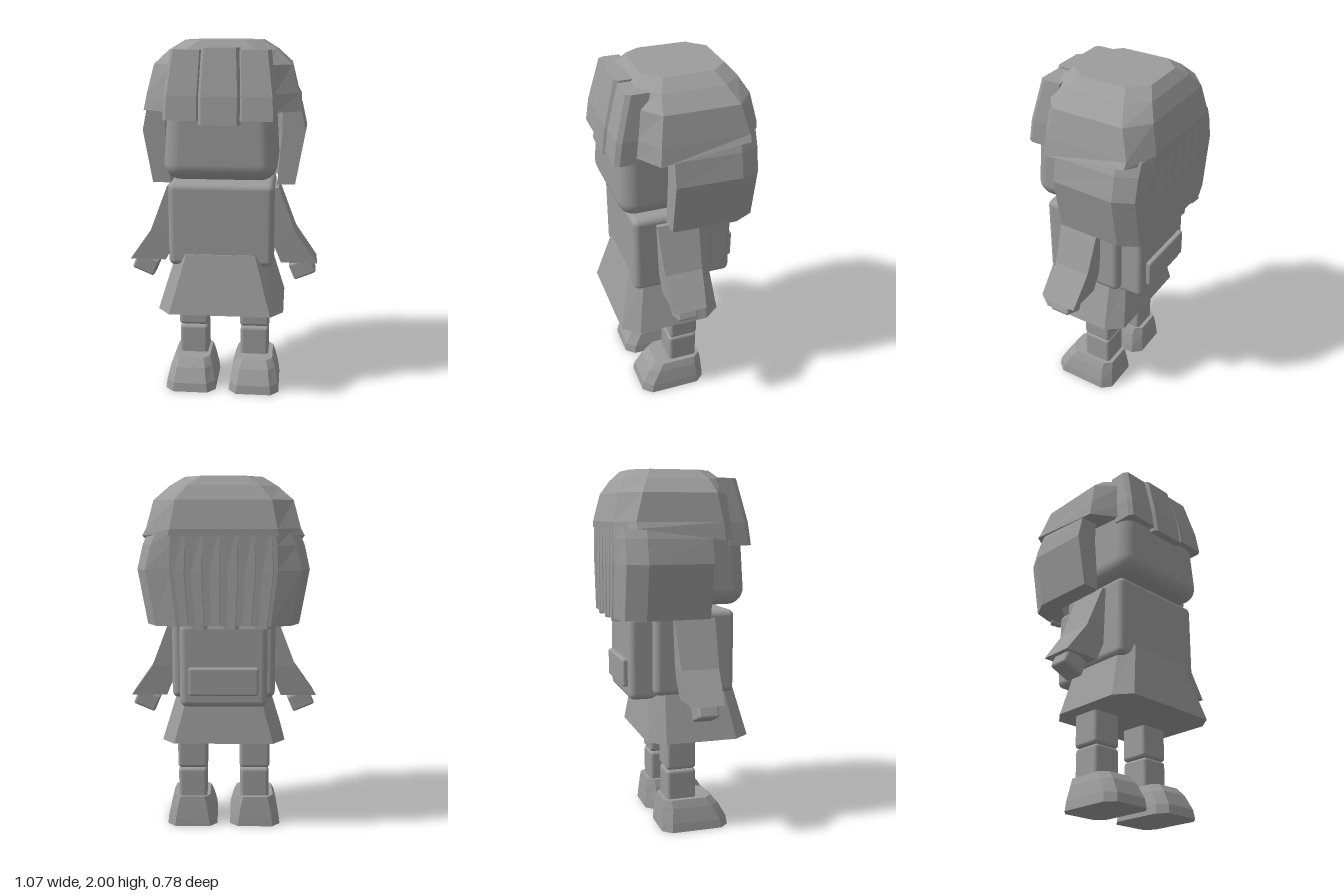
import * as THREE from 'three';
import { RoundedBoxGeometry } from 'three/addons/geometries/RoundedBoxGeometry.js';

// Faceted solid through rings of [x, y, z], bottom to top, counter-clockwise seen from above
function loft(rings) {
  const out = [];
  const n = rings[0].length;
  for (let r = 0; r < rings.length - 1; r++) {
    for (let i = 0; i < n; i++) {
      const j = (i + 1) % n;
      const a = rings[r][i], b = rings[r][j], c = rings[r + 1][j], d = rings[r + 1][i];
      out.push(...a, ...b, ...c, ...a, ...c, ...d);
    }
  }
  const cap = (ring, up) => {
    const flat = ring.map(p => new THREE.Vector2(p[0], -p[2]));
    for (const [a, b, c] of THREE.ShapeUtils.triangulateShape(flat, [])) {
      out.push(...ring[a], ...ring[up ? b : c], ...ring[up ? c : b]);
    }
  };
  cap(rings[0], false);
  cap(rings[rings.length - 1], true);
  const g = new THREE.BufferGeometry();
  g.setAttribute('position', new THREE.Float32BufferAttribute(out, 3));
  g.computeVertexNormals();
  return g;
}

// Rectangle with cut corners: half width X, depth z0..z1, corner cuts cx, cz
function octagon(y, X, z0, z1, cx, cz = cx, mx = 0) {
  return [
    [X, z1 - cz], [X, z0 + cz], [X - cx, z0], [cx - X, z0],
    [-X, z0 + cz], [-X, z1 - cz], [cx - X, z1], [X - cx, z1],
  ].map(([x, z]) => [x + mx, y, z]);
}

function rect(y, xa, xb, z0, z1) {
  const x0 = Math.min(xa, xb), x1 = Math.max(xa, xb);
  return [[x1, y, z1], [x1, y, z0], [x0, y, z0], [x0, y, z1]];
}

export function createModel() {
  const model = new THREE.Group();
  const grey = new THREE.MeshStandardMaterial({ color: 0x9c9c9c });
  grey.name = 'grey';

  const add = (name, geometry) => {
    const mesh = new THREE.Mesh(geometry, grey);
    mesh.name = name;
    model.add(mesh);
    return mesh;
  };
  // Rounded block between two corners
  const block = (name, [x0, y0, z0], [x1, y1, z1], radius) => {
    const mesh = add(name, new RoundedBoxGeometry(x1 - x0, y1 - y0, z1 - z0, 3, radius));
    mesh.position.set((x0 + x1) / 2, (y0 + y1) / 2, (z0 + z1) / 2);
    return mesh;
  };

  // Torso, neck and backpack
  block('torso', [-0.29, 0.78, -0.17], [0.29, 1.245, 0.29], 0.035);
  block('neck', [-0.1, 1.2, -0.1], [0.1, 1.32, 0.12], 0.02);
  block('backpack', [-0.24, 0.755, -0.298], [0.24, 1.22, -0.1], 0.035);
  block('backpackPocket', [-0.19, 0.825, -0.326], [0.19, 0.98, -0.28], 0.012);

  // Flared skirt
  add('skirt', loft([
    octagon(0.525, 0.35, -0.212, 0.375, 0.07, 0.09),
    octagon(0.85, 0.25, -0.172, 0.297, 0.06, 0.07),
  ]));

  for (const s of [1, -1]) {
    const side = s > 0 ? 'left' : 'right';
    // Shoe and leg
    const cx = 0.184 * s;
    add(side + 'Shoe', loft([
      octagon(0, 0.146, -0.13, 0.26, 0.045, 0.05, cx),
      octagon(0.05, 0.14, -0.127, 0.252, 0.045, 0.05, cx),
      octagon(0.13, 0.122, -0.12, 0.208, 0.04, 0.05, cx),
      octagon(0.175, 0.105, -0.115, 0.165, 0.035, 0.04, cx),
    ]));
    const lx = 0.18 * s;
    block(side + 'LowerLeg', [lx - 0.083, 0.12, -0.092], [lx + 0.083, 0.343, 0.078], 0.02);
    block(side + 'UpperLeg', [lx - 0.087, 0.345, -0.095], [lx + 0.087, 0.62, 0.075], 0.02);

    // Wide sleeve and hand
    add(side + 'Sleeve', loft([
      rect(0.77, 0.33 * s, 0.535 * s, -0.04, 0.145),
      rect(0.945, 0.26 * s, 0.412 * s, -0.057, 0.155),
      rect(1.205, 0.25 * s, 0.312 * s, -0.067, 0.165),
    ]));
    const hand = block(side + 'Hand', [-0.067, -0.05, -0.058], [0.067, 0.05, 0.058], 0.014);
    hand.position.set(0.452 * s, 0.729, 0.062);
    hand.rotation.z = 0.4 * s;
  }

  // Head: rounded block, narrowing above the cheeks
  const head = new RoundedBoxGeometry(0.61, 0.46, 0.6, 5, 0.09);
  const p = head.attributes.position;
  for (let i = 0; i < p.count; i++) {
    if (p.getY(i) > 0) {
      p.setX(i, p.getX(i) * 0.94);
      if (p.getZ(i) > 0) p.setZ(i, p.getZ(i) * 0.95);
    }
  }
  add('head', head).position.set(0, 1.5, 0.055);

  // Crown of the hair; its rim rises toward the back
  const rim = octagon(1.63, 0.43, -0.385, 0.27, 0.14, 0.09)
    .map(([x, y, z]) => [x, y + (z < 0 ? 0.06 : 0), z]);
  add('hairCrown', loft([
    rim,
    octagon(1.725, 0.41, -0.387, 0.262, 0.13, 0.09),
    octagon(1.875, 0.372, -0.352, 0.25, 0.12, 0.1),
    octagon(1.95, 0.29, -0.307, 0.232, 0.1),
    octagon(2.0, 0.21, -0.262, 0.185, 0.09),
  ]));

  // Hair hanging round the sides and back, open at the face
  const curtain = (y, front, wide, back, inner) => {
    const half = [[front, 0.11], [wide, -0.245], [wide - 0.052, -0.35], [back, -0.384]];
    const inside = [[0.2, -0.29], [inner, -0.2], [inner, 0.11]];
    const mirror = pts => pts.map(([x, z]) => [-x, z]).reverse();
    return [...half, ...mirror(half), ...mirror(inside), ...inside].map(([x, z]) => [x, y, z]);
  };
  add('hairCurtain', loft([
    curtain(1.215, 0.4, 0.412, 0.25, 0.3),
    curtain(1.51, 0.452, 0.465, 0.285, 0.325),
    curtain(1.64, 0.425, 0.435, 0.28, 0.325),
    curtain(1.71, 0.395, 0.405, 0.27, 0.325),
  ]));

  // Overlapping strands down the back
  for (let i = 0; i < 6; i++) {
    const strand = (y, spread, depth) => {
      const a = (i / 3 - 1) * spread, b = ((i + 1) / 3 - 1) * spread;
      return [[b, y, -0.35], [b, y, -0.382], [a + 0.02, y, -0.384 - depth], [a, y, -0.35]];
    };
    add('backStrand' + (i + 1), loft([
      strand(1.2 + 0.02 * (i % 2), 0.25, 0.006),
      strand(1.5, 0.28, 0.006),
      strand(1.7, 0.27, 0.001),
    ]));
  }

  // Three locks of fringe with bevelled front edges
  const lock = (y, x0, x1, z0, z1) => {
    const b = 0.017;
    return [[x1, y, z1 - b * 1.5], [x1, y, z0], [x0, y, z0],
      [x0, y, z1 - b * 1.5], [x0 + b, y, z1], [x1 - b, y, z1]];
  };
  add('middleFringe', loft([
    lock(1.575, -0.11, 0.11, 0.27, 0.39),
    lock(1.72, -0.112, 0.112, 0.25, 0.372),
    lock(1.965, -0.1, 0.1, 0.18, 0.31),
  ]));
  for (const s of [1, -1]) {
    const span = (y, a, b, z0, z1) => lock(y, Math.min(a * s, b * s), Math.max(a * s, b * s), z0, z1);
    add(s > 0 ? 'leftFringe' : 'rightFringe', loft([
      span(1.597, 0.1, 0.298, 0.25, 0.38),
      span(1.72, 0.1, 0.292, 0.23, 0.362),
      span(1.955, 0.09, 0.262, 0.18, 0.3),
    ]));
  }
  return model;
}
